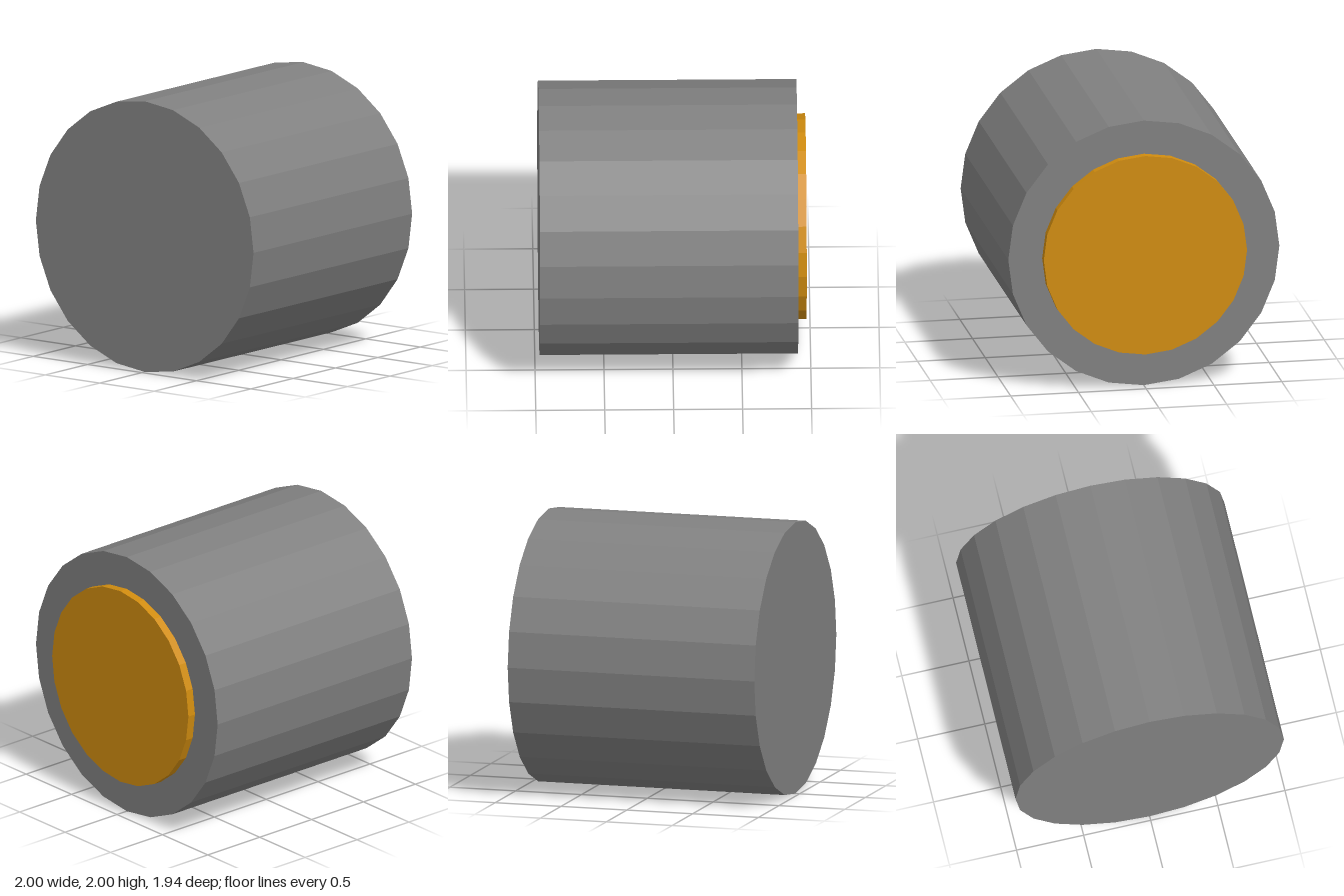
import * as THREE from 'three';

const SIDES = 24;

// Faceted cylinder lying along z, between zBack and zFront, on the axis y = 1
function drum(name, radius, zBack, zFront, color) {
  const geometry = new THREE.CylinderGeometry(radius, radius, zFront - zBack, SIDES);
  geometry.rotateX(Math.PI / 2);
  const material = new THREE.MeshStandardMaterial({ color, flatShading: true });
  const mesh = new THREE.Mesh(geometry, material);
  mesh.name = name;
  mesh.position.set(0, 1, (zBack + zFront) / 2);
  return mesh;
}

export function createModel() {
  const model = new THREE.Group();
  model.name = 'cylinderWithDisc';

  // Main body, dark grey
  model.add(drum('body', 1, -0.905, 0.968, 0x808080));

  // Raised amber disc on the back end
  model.add(drum('backDisc', 0.75, -0.968, -0.905, 0xd08c0f));

  return model;
}
